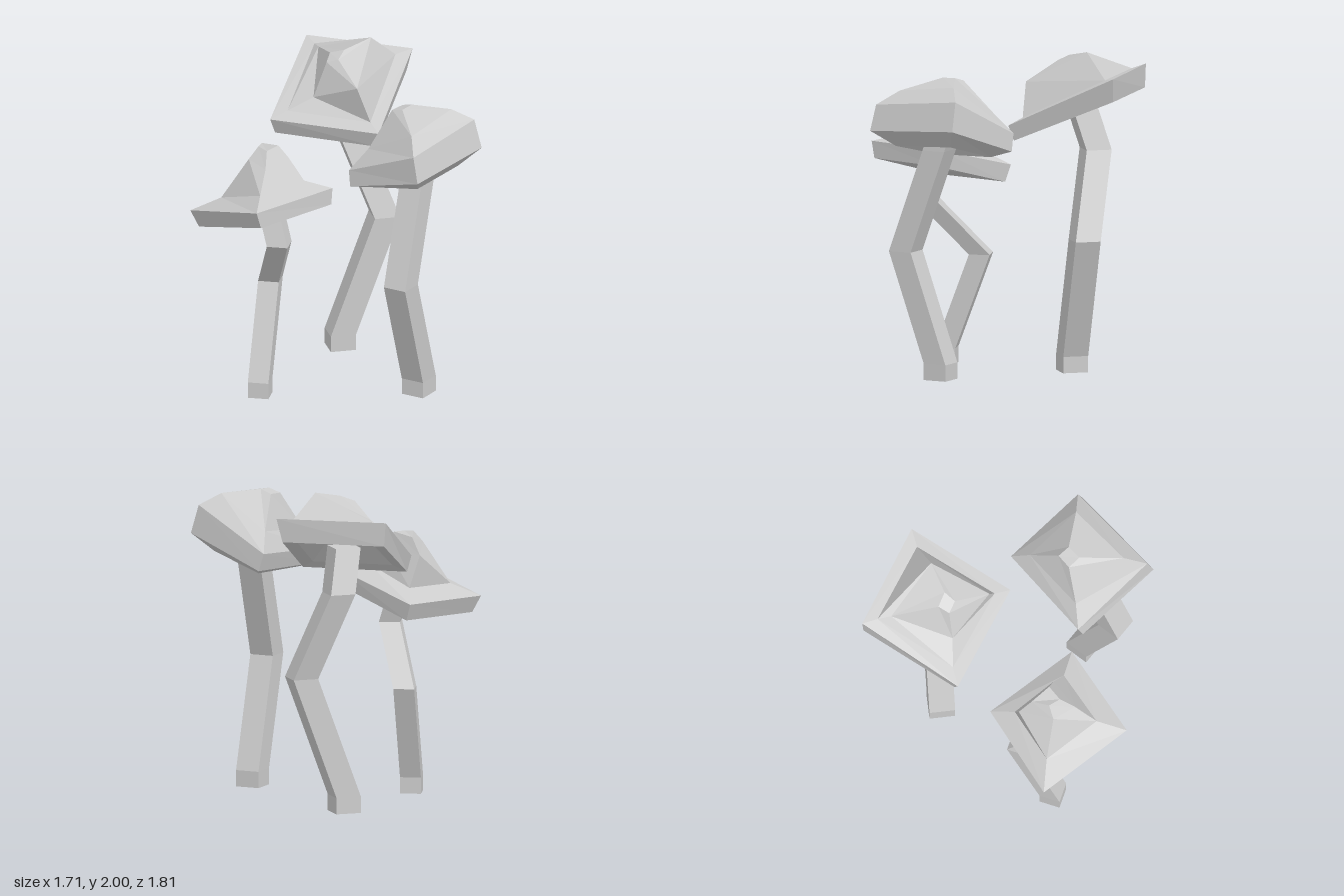
import * as THREE from 'three';

// Closed skin over four-cornered rings (corners ordered west, north, east, south)
function loft(rings) {
  const pos = [];
  const quad = (a, b, c, d) => pos.push(...a, ...b, ...c, ...a, ...c, ...d);
  for (let r = 0; r < rings.length - 1; r++) {
    const a = rings[r], b = rings[r + 1];
    for (let i = 0; i < 4; i++) {
      const j = (i + 1) % 4;
      quad(a[i], b[i], b[j], a[j]);
    }
  }
  quad(...rings[0]);
  quad(...[...rings[rings.length - 1]].reverse());
  const g = new THREE.BufferGeometry();
  g.setAttribute('position', new THREE.Float32BufferAttribute(pos, 3));
  g.computeVertexNormals(); // unshared corners keep every facet flat
  return g;
}

// Copies a ring, moved and scaled per axis about its own centre
function derive(ring, move, scale) {
  const centre = move.map((_, k) => ring.reduce((sum, p) => sum + p[k], 0) / 4);
  return ring.map(p => p.map((v, k) => centre[k] + move[k] + (v - centre[k]) * scale[k]));
}

// Stem: a square section, kept level, carried along a crooked path above a short foot
function stemGeometry(radius, angle, path) {
  const [x, y, z] = path[0];
  const points = [path[0], [x, y + 0.1, z], ...path.slice(1)];
  return loft(points.map(([px, py, pz]) => [0, 1, 2, 3].map(i => {
    const t = angle + i * Math.PI / 2;
    return [px + radius * Math.cos(t), py, pz + radius * Math.sin(t)];
  })));
}

// Cap: hollow ceiling, underside lip, rim band, then the faceted dome
function capGeometry(lip, rings) {
  const ceiling = derive(lip, [0, 0.1, 0], [0.55, 0.55, 0.55]);
  return loft([ceiling, lip, ...rings]);
}

function mushroom(name, material, stem, cap) {
  const group = new THREE.Group();
  group.name = name;
  const parts = { stem, cap };
  for (const part in parts) {
    const mesh = new THREE.Mesh(parts[part], material);
    mesh.name = part;
    group.add(mesh);
  }
  return group;
}

// Short mushroom with a flat brim and a tall narrow dome
function leftMushroom(material) {
  const stem = stemGeometry(0.09, 1.23,
    [[-0.45, 0, 0.195], [-0.34, 0.68, 0.01], [-0.37, 1.035, 0.35], [-0.43, 1.4, 0.22]]);
  const rim = [[-0.86, 1.2, 0.09], [-0.31, 1.22, -0.17], [-0.04, 1.37, 0.36], [-0.58, 1.36, 0.63]];
  const lower = derive(rim, [0.02, -0.102, 0.015], [0.93, 1, 0.94]);
  const lip = derive(lower, [0, 0.02, 0], [0.76, 0.76, 0.76]);
  const base = derive(rim, [0.01, 0.06, -0.015], [0.58, 0.75, 0.6]);
  const shoulder = [[-0.52, 1.54, 0.19], [-0.43, 1.49, -0.01], [-0.28, 1.54, 0.22], [-0.45, 1.52, 0.33]];
  const crown = derive(shoulder, [0.015, 0.08, -0.015], [0.5, 0.4, 0.5]);
  return mushroom('leftMushroom', material, stem, capGeometry(lip, [lower, rim, base, shoulder, crown]));
}

// Tall mushroom with a deep rim and a bevelled underside
function frontMushroom(material) {
  const stem = stemGeometry(0.106, Math.PI / 2,
    [[0.465, 0.045, 0.495], [0.31, 0.82, 0.67], [0.455, 1.45, 0.5], [0.48, 1.6, 0.46]]);
  const rim = [[0.05, 1.497, 0.41], [0.55, 1.545, 0.06], [0.81, 1.79, 0.5], [0.34, 1.725, 0.865]];
  const lower = derive(rim, [0.02, -0.133, 0.03], [1.05, 0.72, 1.03]);
  const lip = derive(lower, [0, -0.066, -0.015], [0.64, 0.55, 0.67]);
  const base = derive(rim, [-0.01, 0.1, -0.015], [0.66, 0.8, 0.69]);
  const crown = derive(base, [-0.04, 0.13, -0.05], [0.24, 0.12, 0.22]);
  return mushroom('frontMushroom', material, stem, capGeometry(lip, [lower, rim, base, crown]));
}

// Tallest mushroom, its cap tipped forward with a lopsided peak
function backMushroom(material) {
  const stem = stemGeometry(0.111, Math.PI / 4,
    [[0.2, 0.02, -0.41], [0.475, 0.86, -0.41], [0.28, 1.39, -0.535], [0.22, 1.66, -0.46]]);
  const rim = [[-0.25, 1.56, -0.36], [0.11, 1.87, -0.9], [0.68, 1.87, -0.53], [0.33, 1.56, 0.03]];
  const lower = derive(rim, [0, -0.12, -0.015], [0.925, 0.84, 0.95]);
  const lip = derive(lower, [0, 0.02, 0], [0.76, 0.76, 0.76]);
  const base = derive(rim, [0, 0.01, 0], [0.76, 0.8, 0.79]);
  const peak = [[0.02, 1.68, -0.36], [0.14, 1.86, -0.72], [0.4, 2, -0.445], [0.23, 1.81, -0.11]];
  const crown = derive(peak, [-0.04, 0.09, 0.03], [0.3, 0.2, 0.17]);
  return mushroom('backMushroom', material, stem, capGeometry(lip, [lower, rim, base, peak, crown]));
}

export function createModel() {
  const model = new THREE.Group();
  model.name = 'mushroomCluster';
  const grey = new THREE.MeshStandardMaterial({ color: 0xcccccc });
  grey.name = 'paleGrey';
  model.add(leftMushroom(grey), frontMushroom(grey), backMushroom(grey));
  return model;
}
